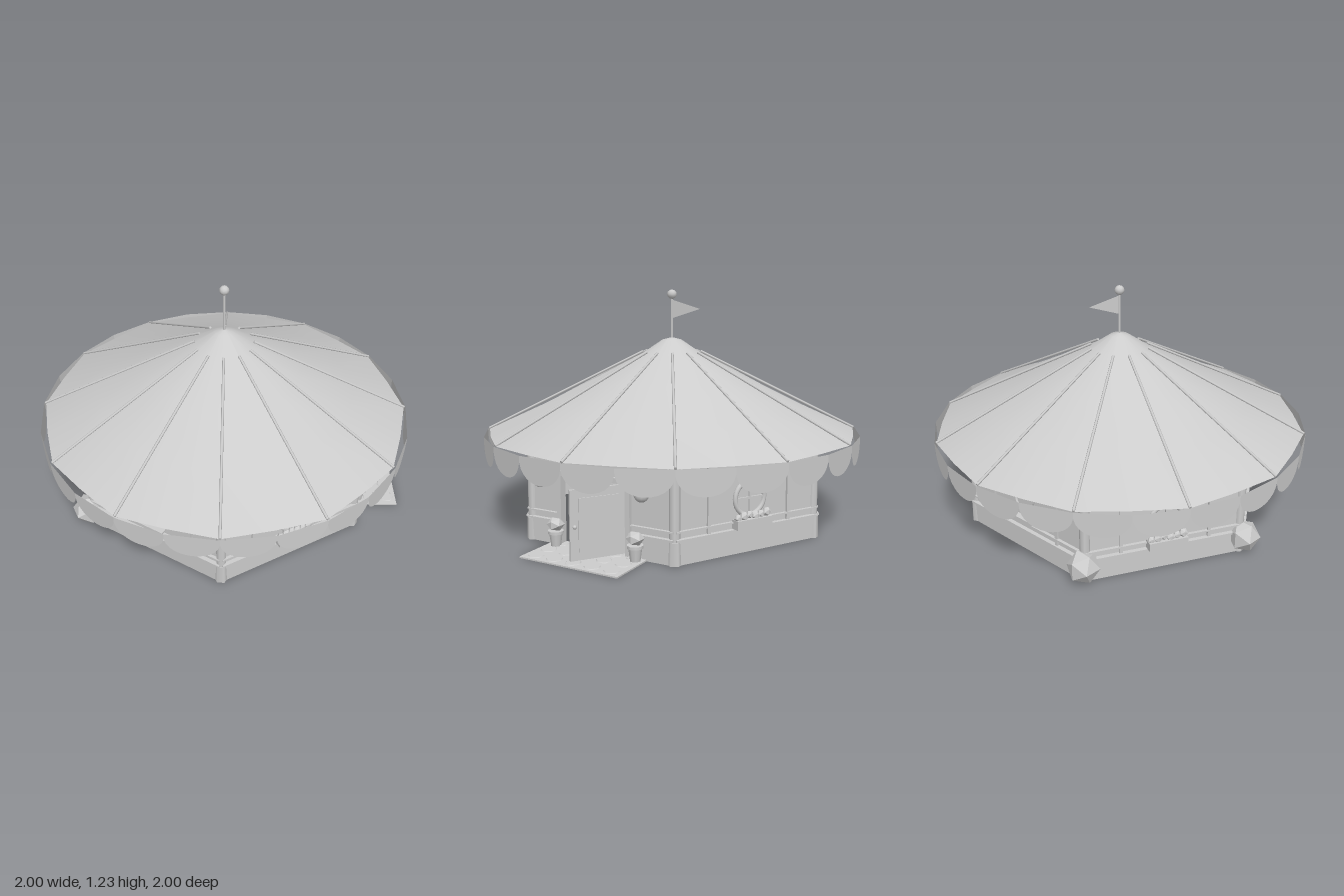
import * as THREE from 'three';

const grey = new THREE.MeshStandardMaterial({ color: 0xcccccc, side: THREE.DoubleSide });
grey.name = 'plain grey';

const TURN = -3.5 * Math.PI / 180; // whole building is twisted slightly
const APOTHEM = 0.71, SIDE = 0.82, WALL_H = 0.5;

function add(parent, name, geometry, x = 0, y = 0, z = 0) {
  const mesh = new THREE.Mesh(geometry, grey);
  mesh.name = name;
  mesh.position.set(x, y, z);
  parent.add(mesh);
  return mesh;
}
const box = (parent, name, w, h, d, x, y, z) => add(parent, name, new THREE.BoxGeometry(w, h, d), x, y, z);
const polar = (r, a, y) => new THREE.Vector3(r * Math.cos(a), y, r * Math.sin(a));

// Rod between two points
function rod(parent, name, a, b, radius) {
  const mesh = add(parent, name, new THREE.CylinderGeometry(radius, radius, a.distanceTo(b), 6));
  mesh.position.copy(a).lerp(b, 0.5);
  mesh.quaternion.setFromUnitVectors(new THREE.Vector3(0, 1, 0), b.clone().sub(a).normalize());
}

// Wall frame: x runs along the wall, z points outward
function sideGroup(parent, name, angle) {
  const g = new THREE.Group();
  g.name = name;
  g.rotation.y = Math.PI / 2 - angle;
  parent.add(g);
  return g;
}

// Wall stretch with skirting and two rails
function wallRun(g, x0, x1) {
  const w = x1 - x0, x = (x0 + x1) / 2;
  box(g, 'wall', w, WALL_H, 0.02, x, WALL_H / 2, APOTHEM - 0.01);
  box(g, 'skirting', w, 0.11, 0.012, x, 0.055, APOTHEM + 0.006);
  box(g, 'lowerRail', w, 0.01, 0.022, x, 0.117, APOTHEM + 0.011);
  box(g, 'upperRail', w, 0.008, 0.016, x, 0.155, APOTHEM + 0.008);
}

function batten(g, x) {
  box(g, 'batten', 0.016, WALL_H - 0.11, 0.012, x, (WALL_H + 0.11) / 2, APOTHEM + 0.006);
}

// Round window with cross bars and a flower box
function roundWindow(g) {
  const y = 0.262, z = APOTHEM + 0.006;
  add(g, 'windowFrame', new THREE.TorusGeometry(0.084, 0.012, 8, 28), 0, y, z);
  add(g, 'windowPane', new THREE.CircleGeometry(0.084, 28), 0, y, APOTHEM + 0.003);
  box(g, 'windowBar', 0.01, 0.16, 0.012, 0, y, z);
  box(g, 'windowBar', 0.16, 0.01, 0.012, 0, y, z);
  box(g, 'flowerBox', 0.2, 0.045, 0.05, 0, 0.148, APOTHEM + 0.03);
  for (let i = 0; i < 6; i++) {
    add(g, 'flower', new THREE.IcosahedronGeometry(0.02 + 0.004 * (i % 2), 0),
      -0.083 + i * 0.033, 0.177 + 0.005 * (i % 3), APOTHEM + 0.03);
  }
}

// Heart window with a plain sill
function heartShape(s) {
  const p = new THREE.Shape();
  p.moveTo(0, -s);
  p.bezierCurveTo(s * 0.35, -s * 0.6, s * 0.8, -s * 0.1, s * 0.8, s * 0.4);
  p.bezierCurveTo(s * 0.8, s * 1.05, s * 0.1, s * 1.05, 0, s * 0.5);
  p.bezierCurveTo(-s * 0.1, s * 1.05, -s * 0.8, s * 1.05, -s * 0.8, s * 0.4);
  p.bezierCurveTo(-s * 0.8, -s * 0.1, -s * 0.35, -s * 0.6, 0, -s);
  return p;
}
function heartWindow(g) {
  const frame = heartShape(0.092);
  frame.holes.push(heartShape(0.074));
  const opts = { depth: 0.014, bevelEnabled: false, curveSegments: 8 };
  add(g, 'heartFrame', new THREE.ExtrudeGeometry(frame, opts), 0, 0.27, APOTHEM);
  add(g, 'heartPane', new THREE.ShapeGeometry(heartShape(0.075), 8), 0, 0.27, APOTHEM + 0.003);
  box(g, 'sill', 0.16, 0.012, 0.035, 0, 0.182, APOTHEM + 0.017);
}

// Doorway side: open door, mat, plants and lanterns
function doorway(g) {
  const L = -0.22, R = 0.17, top = 0.36;
  wallRun(g, -SIDE / 2, L);
  wallRun(g, R, SIDE / 2);
  box(g, 'wallAboveDoor', R - L, WALL_H - top, 0.02, (L + R) / 2, (WALL_H + top) / 2, APOTHEM - 0.01);
  for (const x of [L, R]) box(g, 'doorJamb', 0.025, top, 0.04, x, top / 2, APOTHEM);
  box(g, 'doorLintel', R - L + 0.05, 0.025, 0.04, (L + R) / 2, top, APOTHEM);

  const door = new THREE.Group();
  door.name = 'openDoor';
  door.position.set(R - 0.01, 0, APOTHEM);
  door.rotation.y = -1.95 + Math.PI;
  door.rotation.y = -Math.PI / 2 - 0.62;
  g.add(door);
  door.scale.x = -1;
  door.scale.x = 1;
  box(door, 'doorLeaf', 0.28, 0.33, 0.014, 0.14, 0.185, 0);
  for (const z of [-0.009, 0.009]) {
    box(door, 'doorPanel', 0.2, 0.25, 0.006, 0.14, 0.185, z);
    add(door, 'doorKnob', new THREE.SphereGeometry(0.01, 8, 6), 0.26, 0.18, z * 1.6);
  }

  box(g, 'doorMat', 0.54, 0.007, 0.29, 0, 0.0035, 0.825);
  for (let i = 0; i < 5; i++) for (let j = 0; j < 3; j++) {
    add(g, 'pavingStone', new THREE.CylinderGeometry(0.036, 0.042, 0.005, 6 + (i + j) % 2),
      -0.21 + i * 0.105, 0.008, 0.73 + j * 0.095).rotation.y = i * 1.3 + j;
  }
  for (const x of [-0.22, 0.23]) {
    add(g, 'plantPot', new THREE.CylinderGeometry(0.034, 0.024, 0.075, 10), x, 0.0375, 0.757);
    add(g, 'potRim', new THREE.CylinderGeometry(0.039, 0.039, 0.014, 10), x, 0.075, 0.757);
    add(g, 'plant', new THREE.IcosahedronGeometry(0.044, 0), x, 0.113, 0.757).scale.y = 0.8;
  }
  for (const x of [-0.3, 0.27]) {
    box(g, 'lanternArm', 0.012, 0.012, 0.06, x, 0.365, APOTHEM + 0.03);
    add(g, 'lantern', new THREE.SphereGeometry(0.036, 12, 8), x, 0.325, APOTHEM + 0.055);
  }
}

// Tent roof: twelve bays, slack between the ribs
function roofGeometry() {
  const pts = [[0.001, 0.98], [0.05, 0.968], [0.15, 0.9], [0.42, 0.757], [0.7, 0.617], [0.99, 0.484]]
    .map(p => new THREE.Vector2(...p)).reverse();
  const geo = new THREE.LatheGeometry(pts, 24);
  const pos = geo.attributes.position;
  for (let i = 0; i < pos.count; i++) {
    if (Math.floor(i / pts.length) % 2 === 0) continue;
    const x = pos.getX(i), z = pos.getZ(i);
    pos.setX(i, x * 0.975);
    pos.setZ(i, z * 0.975);
  }
  geo.computeVertexNormals();
  return geo;
}

export function createModel() {
  const model = new THREE.Group();
  model.name = 'roundTentHouse';

  // Six sides, starting with the doorway
  for (let i = 0; i < 6; i++) {
    const g = sideGroup(model, i ? 'wallSide' : 'doorSide', TURN + Math.PI / 6 + i * Math.PI / 3);
    if (i === 0) doorway(g);
    else {
      wallRun(g, -SIDE / 2, SIDE / 2);
      batten(g, -0.23);
      batten(g, 0.23);
      if (i % 2) roundWindow(g); else heartWindow(g);
    }
    const c = polar(0.805, TURN + i * Math.PI / 3, 0);
    add(model, 'cornerPost', new THREE.CylinderGeometry(0.026, 0.026, WALL_H, 8), c.x, WALL_H / 2, c.z);
    add(model, 'cornerFoot', new THREE.CylinderGeometry(0.033, 0.036, 0.11, 6), c.x, 0.055, c.z);
  }

  // Clipped bushes at two corners
  for (const k of [3, 4]) {
    const p = polar(0.84, TURN + k * Math.PI / 3, 0.092);
    add(model, 'bush', new THREE.IcosahedronGeometry(0.084, 0), p.x, p.y, p.z);
  }

  // Roof and ribs
  add(model, 'roof', roofGeometry()).rotation.y = -TURN;
  for (let i = 0; i < 12; i++) {
    const a = TURN + i * Math.PI / 6;
    rod(model, 'roofRib', polar(0.155, a, 0.905), polar(0.992, a, 0.488), 0.007);
  }

  // Scalloped valance
  const half = Math.sin(Math.PI / 24), flap = new THREE.Shape();
  flap.moveTo(-half, 0.485);
  flap.lineTo(-half, 0.455);
  flap.bezierCurveTo(-half * 0.85, 0.33, half * 0.85, 0.33, half, 0.455);
  flap.lineTo(half, 0.485);
  const flapGeo = new THREE.ShapeGeometry(flap, 12);
  for (let i = 0; i < 24; i++) {
    const g = sideGroup(model, 'valance', TURN + (i + 0.5) * Math.PI / 12);
    add(g, 'valanceFlap', flapGeo, 0, 0, Math.cos(Math.PI / 24));
  }

  // Flagpole with finial and pennant
  add(model, 'flagpole', new THREE.CylinderGeometry(0.006, 0.006, 0.25, 8), 0, 1.085, 0);
  add(model, 'finial', new THREE.IcosahedronGeometry(0.026, 1), 0, 1.208, 0);
  const pennant = new THREE.Shape([[0, 1.18], [0, 1.08], [0.165, 1.132]].map(p => new THREE.Vector2(...p)));
  add(model, 'pennant', new THREE.ShapeGeometry(pennant)).rotation.y = Math.atan2(0.15, 0.07);

  return model;
}
